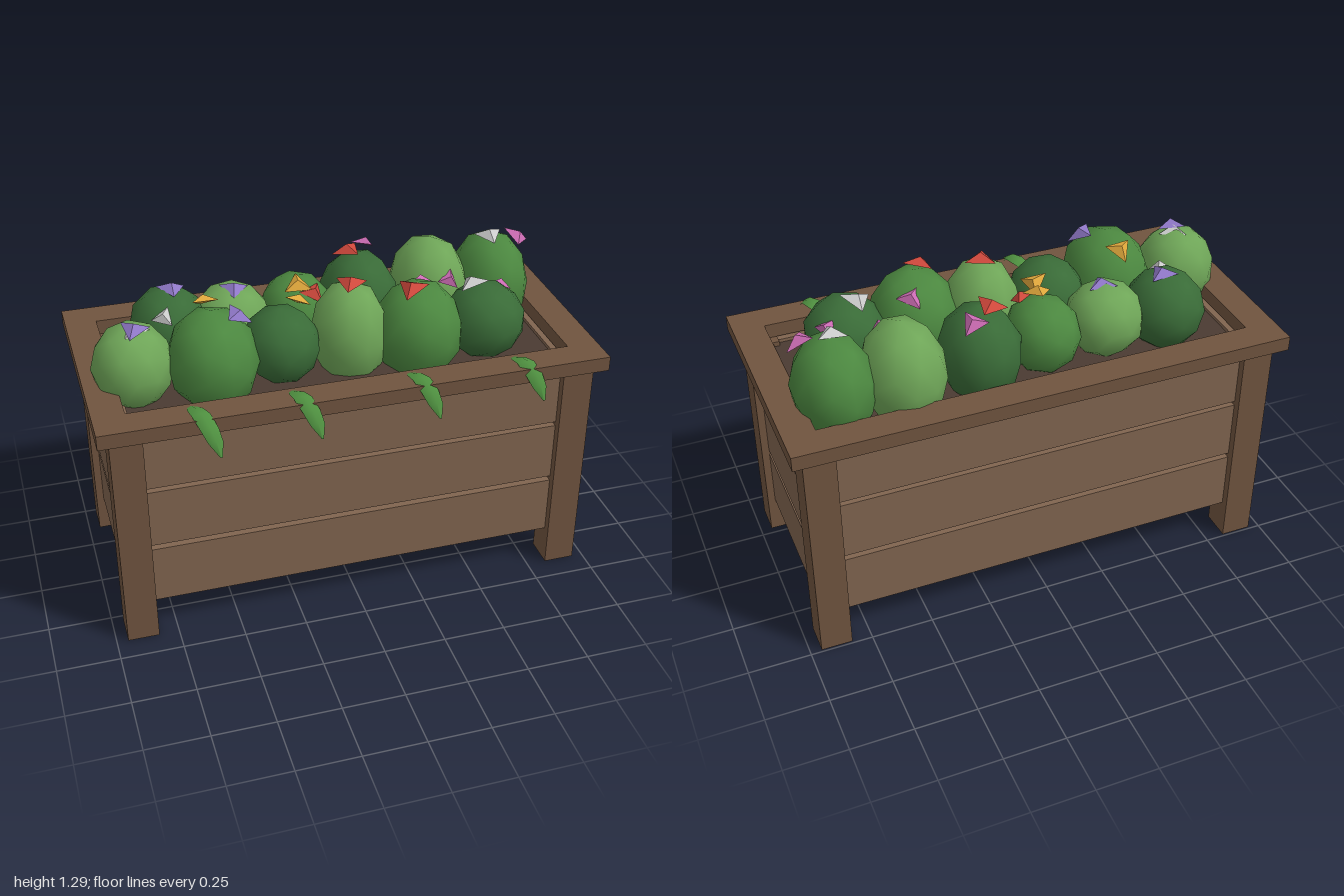
import * as THREE from 'three';

const ZC = -0.043; // centre of the box in z; the hanging leaves extend the front

const mat = (color, extra = {}) => new THREE.MeshStandardMaterial({ color, ...extra });
const frameWood = mat(0x70543f);
const plankWood = mat(0x80644f);
const soilMat = mat(0x4a3b32);
const greens = { light: mat(0x6fa658), mid: mat(0x4c8840), dark: mat(0x3a6c38) };
const petals = {};
for (const [name, color] of Object.entries({
  purple: 0x9078c8, white: 0xdedede, yellow: 0xe0a83c, red: 0xd0483c, pink: 0xcc6cb4,
})) petals[name] = mat(color, { flatShading: true, side: THREE.DoubleSide });
const leafMat = mat(0x4f9040, { side: THREE.DoubleSide });

function box(parent, name, material, w, h, d, x, y, z) {
  const m = new THREE.Mesh(new THREE.BoxGeometry(w, h, d), material);
  m.position.set(x, y, z + ZC);
  m.name = name;
  parent.add(m);
}

// x, z, half width, half depth, top height, shade
const BUSHES = [
  [-0.61, -0.21, 0.16, 0.17, 1.21, 'dark'],
  [-0.36, -0.19, 0.16, 0.16, 1.20, 'light'],
  [-0.09, -0.20, 0.15, 0.165, 1.20, 'mid'],
  [0.18, -0.23, 0.165, 0.18, 1.25, 'dark'],
  [0.49, -0.245, 0.165, 0.19, 1.27, 'light'],
  [0.755, -0.23, 0.16, 0.195, 1.26, 'mid'],
  [-0.80, 0.06, 0.16, 0.165, 1.22, 'light'],
  [-0.50, 0.10, 0.18, 0.20, 1.255, 'mid'],
  [-0.22, 0.06, 0.155, 0.165, 1.20, 'dark'],
  [0.06, 0.05, 0.155, 0.165, 1.27, 'light'],
  [0.325, 0.10, 0.18, 0.19, 1.255, 'mid'],
  [0.61, 0.09, 0.165, 0.17, 1.20, 'dark'],
];
const BUSH_Y = 1.045;

// x, y, z, colour, radius
const FLOWERS = [
  [-0.59, 1.215, -0.21, 'purple', 0.065],
  [-0.35, 1.20, -0.17, 'purple', 0.065],
  [-0.79, 1.23, 0.10, 'purple', 0.065],
  [-0.79, 1.215, 0.075, 'white', 0.065],
  [-0.40, 1.25, 0.14, 'purple', 0.065],
  [-0.50, 1.24, -0.03, 'yellow', 0.06],
  [-0.10, 1.20, -0.13, 'yellow', 0.065],
  [-0.12, 1.18, -0.04, 'yellow', 0.06],
  [-0.04, 1.17, -0.10, 'red', 0.06],
  [0.14, 1.265, -0.25, 'red', 0.07],
  [0.24, 1.25, -0.32, 'pink', 0.06],
  [0.74, 1.27, -0.21, 'white', 0.065],
  [0.86, 1.255, -0.19, 'pink', 0.065],
  [0.06, 1.28, 0.06, 'red', 0.07],
  [0.28, 1.265, 0.14, 'red', 0.07],
  [0.37, 1.21, -0.01, 'pink', 0.06],
  [0.56, 1.21, 0.06, 'white', 0.07],
  [0.71, 1.15, 0.0, 'pink', 0.05],
  [0.52, 1.16, -0.07, 'pink', 0.05],
  [-0.65, 1.16, -0.08, 'white', 0.05],
];

// Folded blade: three points across (edge, midrib, edge) swept along an arch
function leafGeometry(reach) {
  const arch = [ // drift in x, height, run in z, half width
    [-0.02, 0.995, 0.0, 0.012], [-0.012, 1.015, 0.05, 0.03], [0.0, 1.02, 0.1, 0.035],
    [0.02, 0.985, 0.15, 0.034], [0.035, 0.94, 0.178, 0.028], [0.048, 0.88, 0.195, 0.004],
  ];
  const pos = [], idx = [];
  arch.forEach(([x, y, z, w], i) => {
    const fold = w * 0.4;
    pos.push(x - w, y - fold, z * reach - fold, x, y, z * reach, x + w, y - fold, z * reach - fold);
    if (i === 0) return;
    for (let k = 0; k < 2; k++) {
      const a = (i - 1) * 3 + k, b = a + 3;
      idx.push(a, b, a + 1, a + 1, b, b + 1);
    }
  });
  const g = new THREE.BufferGeometry();
  g.setAttribute('position', new THREE.Float32BufferAttribute(pos, 3));
  g.setIndex(idx);
  g.computeVertexNormals();
  return g;
}

export function createModel() {
  const root = new THREE.Group();
  root.name = 'planter';

  // Corner legs
  const frame = new THREE.Group();
  frame.name = 'frame';
  root.add(frame);
  for (const sx of [-1, 1]) for (const sz of [-1, 1])
    box(frame, 'leg', frameWood, 0.125, 0.94, 0.125, sx * 0.8925, 0.47, sz * 0.385);

  // Slatted walls with open gaps
  const walls = new THREE.Group();
  walls.name = 'walls';
  root.add(walls);
  for (const y of [0.277, 0.545, 0.81]) for (const s of [-1, 1]) {
    box(walls, 'longPlank', plankWood, 1.68, 0.247, 0.07, 0, y, s * 0.38);
    box(walls, 'endPlank', plankWood, 0.07, 0.247, 0.66, s * 0.89, y, 0);
  }
  box(walls, 'floor', plankWood, 1.71, 0.03, 0.69, 0, 0.17, 0);

  // Flat rim of four boards
  const rim = new THREE.Group();
  rim.name = 'rim';
  root.add(rim);
  for (const s of [-1, 1]) {
    box(rim, 'rimLong', frameWood, 2, 0.06, 0.125, 0, 0.97, s * 0.425);
    box(rim, 'rimEnd', frameWood, 0.125, 0.06, 0.725, s * 0.9375, 0.97, 0);
  }

  box(root, 'soil', soilMat, 1.71, 0.1, 0.69, 0, 0.87, 0);

  // Faceted bushes in two rows
  const bushes = new THREE.Group();
  bushes.name = 'bushes';
  root.add(bushes);
  BUSHES.forEach(([x, z, rx, rz, top, shade], i) => {
    const g = new THREE.IcosahedronGeometry(1, 1);
    g.rotateY(i * 1.3);
    g.scale(rx, top - BUSH_Y, rz);
    const m = new THREE.Mesh(g, greens[shade]);
    m.position.set(x, BUSH_Y, z);
    m.name = 'bush';
    bushes.add(m);
  });

  // Three-sided blossoms, each facing away from its nearest bush
  const flowers = new THREE.Group();
  flowers.name = 'flowers';
  root.add(flowers);
  const up = new THREE.Vector3(0, 1, 0);
  FLOWERS.forEach(([x, y, z, color, r], i) => {
    const dist = (b) => Math.hypot(b[0] - x, b[1] - z);
    const near = BUSHES.reduce((a, b) => (dist(b) < dist(a) ? b : a));
    const g = new THREE.ConeGeometry(r, 0.03, 3);
    g.rotateY(i * 1.9);
    const m = new THREE.Mesh(g, petals[color]);
    const out = new THREE.Vector3(x - near[0], 0.2, z - near[1]).normalize();
    m.quaternion.setFromUnitVectors(up, out);
    m.position.set(x, y, z);
    m.name = 'flower';
    flowers.add(m);
  });

  // Leaves trailing over the front rim
  const leaves = new THREE.Group();
  leaves.name = 'trailingLeaves';
  root.add(leaves);
  [[-0.615, 1.0], [-0.23, 0.92], [0.235, 0.88], [0.66, 0.84]].forEach(([x, reach]) => {
    const m = new THREE.Mesh(leafGeometry(reach), leafMat);
    m.position.set(x, 0.005, 0.335);
    m.name = 'trailingLeaf';
    leaves.add(m);
  });

  return root;
}
